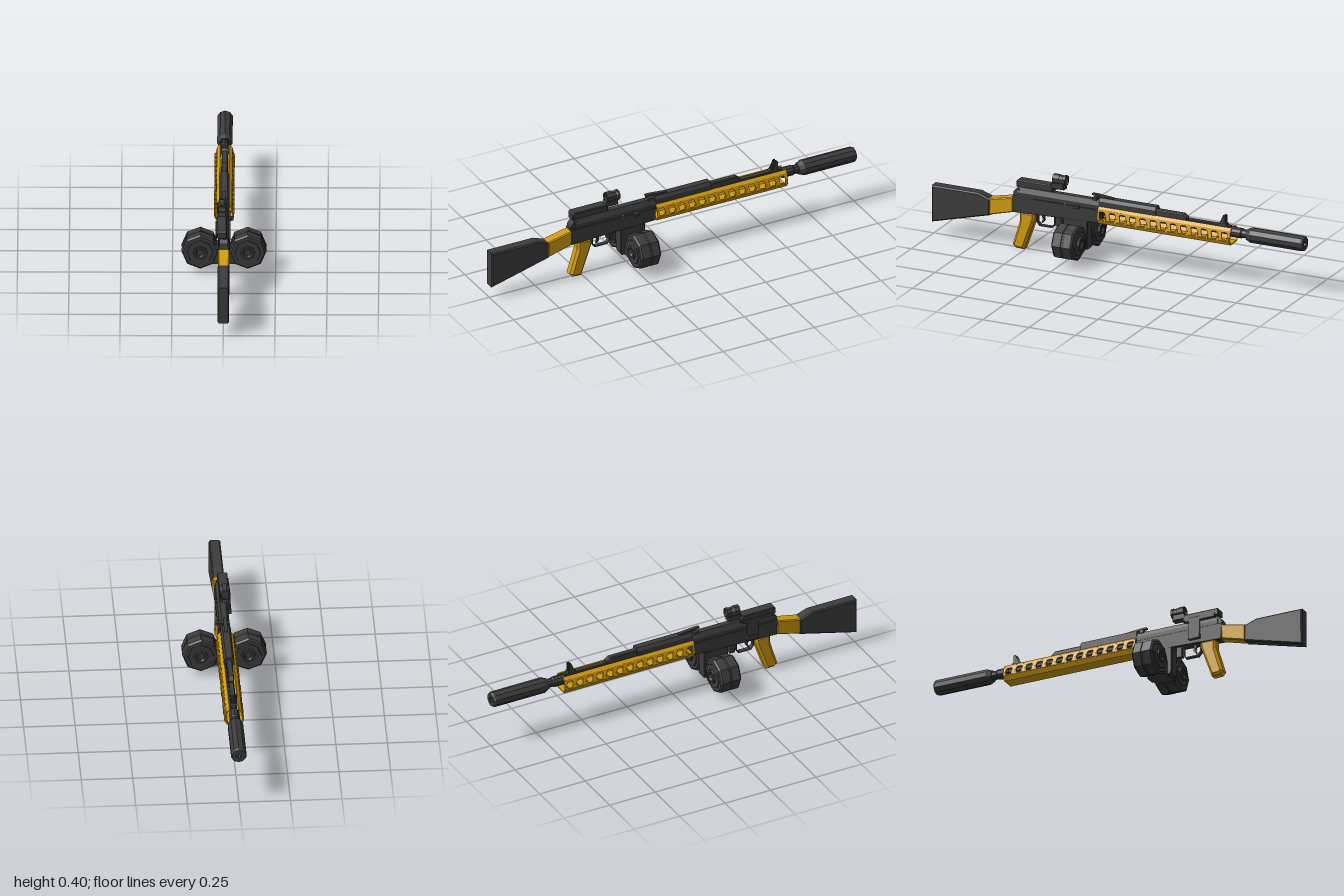
import * as THREE from 'three';

const dark = new THREE.MeshStandardMaterial({ color: 0x3c3c3c });
dark.name = 'dark metal';
const gold = new THREE.MeshStandardMaterial({ color: 0xd29c10 });
gold.name = 'gold furniture';
const green = new THREE.MeshStandardMaterial({ color: 0x2fc42f });
green.name = 'green reticle';

export function createModel() {
  const model = new THREE.Group();

  const add = (name, geo, mat) => {
    const g = geo.index ? geo.toNonIndexed() : geo;
    g.computeVertexNormals(); // faceted look
    const mesh = new THREE.Mesh(g, mat);
    mesh.name = name;
    model.add(mesh);
    return mesh;
  };
  const box = (name, mat, x0, x1, y0, y1, z0, z1) =>
    add(name, new THREE.BoxGeometry(x1 - x0, y1 - y0, z1 - z0)
      .translate((x0 + x1) / 2, (y0 + y1) / 2, (z0 + z1) / 2), mat);
  // Side outline of [z, y] points, extruded across x with a chamfered edge
  const side = (name, mat, pts, width, bevel = 0, x = 0) => {
    const geo = new THREE.ExtrudeGeometry(new THREE.Shape(pts.map(p => new THREE.Vector2(...p))), {
      depth: width - 2 * bevel, bevelEnabled: bevel > 0, bevelThickness: bevel,
      bevelSize: bevel, bevelOffset: -bevel, bevelSegments: 1,
    });
    geo.translate(0, 0, -width / 2 + bevel).rotateY(-Math.PI / 2).translate(x, 0, 0);
    return add(name, geo, mat);
  };
  // Turned part along -z from [radius, z] points listed from high z to low z
  const turned = (name, mat, pts, n, x, y, turn = 0) =>
    add(name, new THREE.LatheGeometry(pts.map(([r, z]) => new THREE.Vector2(r, -z)), n)
      .rotateY(turn).rotateX(-Math.PI / 2).translate(x, y, 0), mat);
  // Front outline of [x, y] points, extruded from z0 to z1
  const front = (name, mat, pts, z0, z1) =>
    add(name, new THREE.ExtrudeGeometry(new THREE.Shape(pts.map(p => new THREE.Vector2(...p))),
      { depth: z1 - z0, bevelEnabled: false }).translate(0, 0, z0), mat);

  // Stock
  side('stock', dark, [[0.685, 0.153], [1, 0.07], [1, 0.258], [0.75, 0.258], [0.685, 0.235]], 0.056, 0.006);
  side('stockNeck', gold, [[0.56, 0.19], [0.69, 0.155], [0.69, 0.238], [0.56, 0.266]], 0.055, 0.005);

  // Receiver with narrower chamfered cover
  side('receiver', dark, [[0.1, 0.206], [0.3, 0.2], [0.56, 0.19], [0.565, 0.275], [0.1, 0.275]], 0.054, 0.002);
  front('receiverCover', dark, [[-0.025, 0.27], [0.025, 0.27], [0.025, 0.295], [0.014, 0.32], [-0.014, 0.32], [-0.025, 0.295]], 0.1, 0.54);
  side('coverEnd', dark, [[0.53, 0.27], [0.565, 0.27], [0.56, 0.295], [0.545, 0.312], [0.53, 0.312]], 0.042);
  box('sideRib', dark, 0.025, 0.032, 0.265, 0.275, 0.12, 0.45);
  box('boltHandle', dark, 0.025, 0.046, 0.268, 0.281, 0.2, 0.225);
  box('selectorPin', gold, 0.025, 0.029, 0.262, 0.286, 0.276, 0.282);

  // Grip
  side('grip', gold, [[0.505, 0.004], [0.55, 0.006], [0.567, 0.022], [0.528, 0.15], [0.528, 0.2], [0.445, 0.2], [0.447, 0.165]], 0.055, 0.012);

  // Trigger group
  const guard = [[0.44, 0.2], [0.44, 0.155], [0.425, 0.137], [0.36, 0.137], [0.345, 0.155], [0.345, 0.2]];
  for (let i = 0; i < guard.length - 1; i++) {
    const [z0, y0] = guard[i], [z1, y1] = guard[i + 1];
    const len = Math.hypot(z1 - z0, y1 - y0) + 0.004;
    add('triggerGuard', new THREE.BoxGeometry(0.022, 0.005, len)
      .rotateX(Math.atan2(y0 - y1, z1 - z0)).translate(0, (y0 + y1) / 2, (z0 + z1) / 2), dark);
  }
  side('trigger', dark, [[0.405, 0.2], [0.4, 0.165], [0.412, 0.15], [0.418, 0.153], [0.41, 0.17], [0.42, 0.2]], 0.012);
  box('magazineCatch', dark, -0.012, 0.012, 0.147, 0.205, 0.31, 0.338);

  // Twin drum magazine
  side('magazineBody', dark, [[0.16, 0.06], [0.285, 0.06], [0.292, 0.08], [0.292, 0.205], [0.16, 0.205]], 0.056, 0.003);
  front('magazineBridge', dark, [[-0.06, 0.058], [0.06, 0.058], [0.03, 0.12], [-0.03, 0.12]], 0.17, 0.27);
  for (const s of [-1, 1]) {
    turned('drum', dark, [[0, 0.274], [0.018, 0.274], [0.024, 0.284], [0.034, 0.284], [0.036, 0.277],
      [0.062, 0.277], [0.064, 0.272], [0.082, 0.272], [0.09, 0.264], [0.09, 0.222], [0.087, 0.22],
      [0.087, 0.212], [0.09, 0.21], [0.09, 0.17], [0.082, 0.162], [0.064, 0.162], [0.062, 0.157],
      [0.036, 0.157], [0.034, 0.147], [0.024, 0.147], [0.018, 0.157], [0, 0.157]], 8, s * 0.115, 0.12);
  }

  // Barrel and suppressor
  turned('barrel', dark, [[0, 0.11], [0.017, 0.11], [0.017, -0.6], [0.017, -0.705], [0, -0.705]], 10, 0, 0.267);
  turned('barrelCollar', dark, [[0.016, -0.6], [0.026, -0.6], [0.026, -0.66], [0.022, -0.665], [0.022, -0.71], [0, -0.71]], 10, 0, 0.267);
  turned('suppressor', dark, [[0, -0.69], [0.028, -0.69], [0.039, -0.715], [0.039, -0.99], [0.034, -1],
    [0.014, -1], [0.014, -0.96], [0, -0.96]], 10, 0, 0.266);

  // Handguard: solid trough with perforated upper walls
  const zBack = 0.1, zFront = -0.615, holes = 13, pitch = (zBack - zFront) / holes;
  const slat = (name, p, q, pierced) => {
    const h = Math.hypot(q[0] - p[0], q[1] - p[1]), t = 0.006;
    const shape = new THREE.Shape([[zFront, 0], [zBack, 0], [zBack, h], [zFront, h]].map(a => new THREE.Vector2(...a)));
    for (let i = 0; pierced && i < holes; i++) {
      const c = zFront + (i + 0.5) * pitch;
      shape.holes.push(new THREE.Path([[-0.02, 0.1], [-0.012, 0.72], [-0.007, 0.8], [0.014, 0.8], [0.02, 0.72], [0.014, 0.1]]
        .map(([z, k]) => new THREE.Vector2(c + z, k * h))));
    }
    const u = new THREE.Vector3(0, 0, 1), v = new THREE.Vector3((q[0] - p[0]) / h, (q[1] - p[1]) / h, 0);
    const geo = new THREE.ExtrudeGeometry(shape, { depth: t, bevelEnabled: false }).translate(0, 0, -t / 2);
    geo.applyMatrix4(new THREE.Matrix4().makeBasis(u, v, u.clone().cross(v)).setPosition(p[0], p[1], 0));
    add(name, geo, gold);
  };
  slat('handguardFloor', [-0.034, 0.211], [0.034, 0.211], false);
  for (const s of [-1, 1]) {
    slat('handguardLowerWall', [s * 0.033, 0.21], [s * 0.045, 0.232], false);
    slat('handguardUpperWall', [s * 0.045, 0.231], [s * 0.034, 0.28], true);
    slat('handguardTopRail', [s * 0.035, 0.278], [s * 0.021, 0.292], false);
    // Small rib between each pair of openings
    for (let i = 0; i < holes; i++) {
      const z = zFront + (i + 0.02) * pitch + 0.005;
      box('handguardRib', gold, Math.min(s * 0.043, s * 0.049), Math.max(s * 0.043, s * 0.049), 0.228, 0.25, z, z + 0.01);
    }
  }

  // Gas tube and top cover
  front('topCover', dark, [[-0.025, 0.285], [0.025, 0.285], [0.025, 0.318], [0.016, 0.334], [-0.016, 0.334], [-0.025, 0.318]], -0.205, 0.1);
  side('gasBlock', dark, [[-0.37, 0.285], [-0.2, 0.285], [-0.2, 0.32], [-0.35, 0.32], [-0.37, 0.305]], 0.03, 0.004);
  box('gasTube', dark, -0.011, 0.011, 0.275, 0.296, -0.6, -0.36);

  // Iron sights
  side('rearSight', dark, [[0.03, 0.331], [0.06, 0.331], [0.145, 0.339], [0.145, 0.346], [0.12, 0.346], [0.03, 0.338]], 0.018);
  box('rearSightNotch', dark, -0.022, 0.022, 0.315, 0.332, 0.115, 0.135);
  side('frontSightBase', dark, [[-0.59, 0.28], [-0.52, 0.28], [-0.54, 0.305], [-0.58, 0.305]], 0.03);
  side('frontSightPost', dark, [[-0.575, 0.3], [-0.54, 0.3], [-0.56, 0.345], [-0.575, 0.345]], 0.008);
  for (const s of [-1, 1])
    side('frontSightEar', dark, [[-0.575, 0.3], [-0.54, 0.3], [-0.555, 0.325], [-0.562, 0.345], [-0.575, 0.345]], 0.005, 0, s * 0.013);

  // Optic rail and its side bracket
  side('opticRail', dark, [[0.355, 0.318], [0.55, 0.318], [0.55, 0.348], [0.543, 0.355], [0.37, 0.355], [0.355, 0.342]], 0.05, 0.004, -0.01);
  box('bracketArm', dark, -0.04, -0.02, 0.312, 0.33, 0.37, 0.53);
  box('bracketPlate', dark, -0.041, -0.034, 0.235, 0.33, 0.39, 0.45);
  box('bracketFoot', dark, -0.046, -0.025, 0.214, 0.238, 0.39, 0.45);

  // Octagonal sight with a dotted reticle
  side('opticMount', dark, [[0.295, 0.338], [0.37, 0.338], [0.36, 0.37], [0.3, 0.37]], 0.04, 0.003, -0.009);
  turned('opticTube', dark, [[0, 0.35], [0.019, 0.35], [0.021, 0.357], [0.027, 0.357], [0.027, 0.325],
    [0.024, 0.32], [0.024, 0.305], [0.027, 0.3], [0.027, 0.288], [0.021, 0.288], [0.019, 0.294], [0, 0.294]],
  8, -0.009, 0.383, Math.PI / 8);
  for (const [x, y] of [[-2, 0], [-1, 0], [1, 0], [2, 0], [0, -1], [0, 1], [-2, 1], [2, 1], [-1, -1], [1, -1]]) {
    const cx = -0.009 + x * 0.0055, cy = 0.381 + y * 0.005;
    box('reticleDot', green, cx - 0.0016, cx + 0.0016, cy - 0.0016, cy + 0.0016, 0.35, 0.352);
  }
  return model;
}
